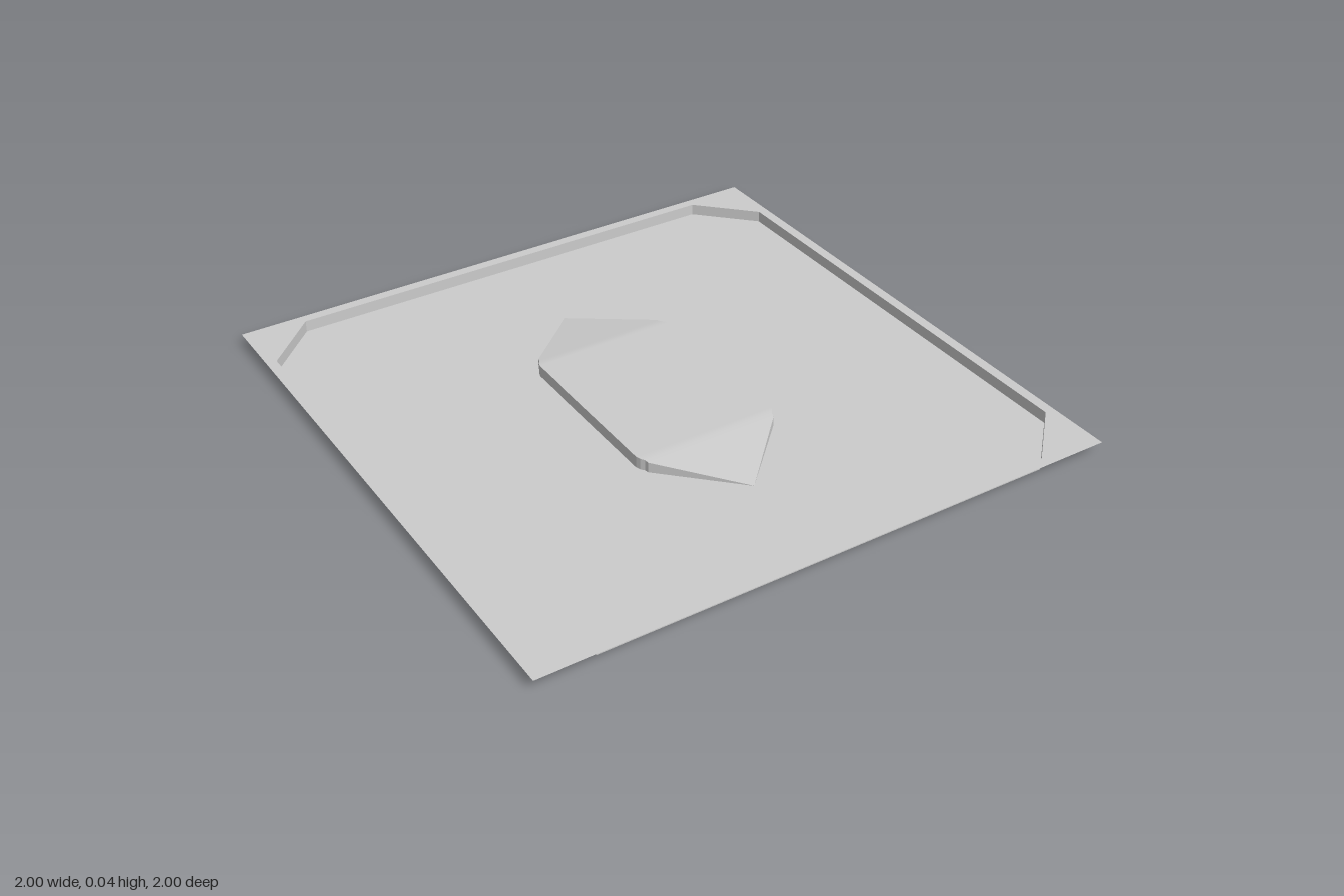
import * as THREE from 'three';

const H = 0.04;      // rim height
const IN = 0.965;    // half width of the recessed tray
const CUT = 0.785;   // where the corner chamfers begin
const material = new THREE.MeshStandardMaterial({ color: 0xcccccc, side: THREE.DoubleSide, flatShading: true });
const smoothMaterial = new THREE.MeshStandardMaterial({ color: 0xcccccc, side: THREE.DoubleSide });

// Chamfered square, counter-clockwise
const octagon = [
  [IN, -CUT], [IN, CUT], [CUT, IN], [-CUT, IN],
  [-IN, CUT], [-IN, -CUT], [-CUT, -IN], [CUT, -IN],
].map(([x, y]) => new THREE.Vector2(x, y));

function addMesh(group, name, geometry, mat = material) {
  const mesh = new THREE.Mesh(geometry, mat);
  mesh.name = name;
  group.add(mesh);
}

// Flat horizontal sheet from a shape, facing up
function sheet(shape, y) {
  return new THREE.ShapeGeometry(shape).rotateX(-Math.PI / 2).translate(0, y, 0);
}

// Surface through pairs of points, each pair joined to the next
function ribbon(pairs) {
  const index = [];
  for (let i = 0; i < pairs.length - 1; i++) {
    const a = i * 2;
    index.push(a, a + 2, a + 1, a + 1, a + 2, a + 3);
  }
  const geometry = new THREE.BufferGeometry();
  geometry.setAttribute('position', new THREE.Float32BufferAttribute(pairs.flat(2), 3));
  geometry.setIndex(index);
  geometry.computeVertexNormals();
  return geometry;
}

export function createModel() {
  const model = new THREE.Group();
  model.name = 'recessedPanel';

  // Thin square rim with a chamfered opening
  const rim = new THREE.Shape([[-1, -1], [1, -1], [1, 1], [-1, 1]].map(([x, y]) => new THREE.Vector2(x, y)));
  rim.holes.push(new THREE.Path(octagon.slice().reverse()));
  addMesh(model, 'rim', sheet(rim, H));

  // Recessed floor and its upright walls
  addMesh(model, 'trayFloor', sheet(new THREE.Shape(octagon), 0));
  const loop = [...octagon, octagon[0]];
  addMesh(model, 'trayWalls', ribbon(loop.map((p) => [[p.x, 0, -p.y], [p.x, H, -p.y]])));

  // Central raised pad: [z, half width, height], ends ramping down to points
  const half = [[0.3, 0.25, H], [0.315, 0.245, 0.0395], [0.328, 0.235, 0.038], [0.342, 0.232, 0.036], [0.57, 0, 0.0005]];
  const sections = [...half.slice().reverse().map(([z, w, h]) => [-z, w, h]), ...half];
  const pad = new THREE.Group();
  pad.name = 'raisedPad';
  addMesh(pad, 'padTop', ribbon(sections.map(([z, w, h]) => [[-w, h, z], [w, h, z]])), smoothMaterial);
  addMesh(pad, 'padRightSide', ribbon(sections.map(([z, w, h]) => [[-w, 0, z], [-w, h, z]])));
  addMesh(pad, 'padLeftSide', ribbon(sections.map(([z, w, h]) => [[w, h, z], [w, 0, z]])));
  model.add(pad);

  return model;
}
